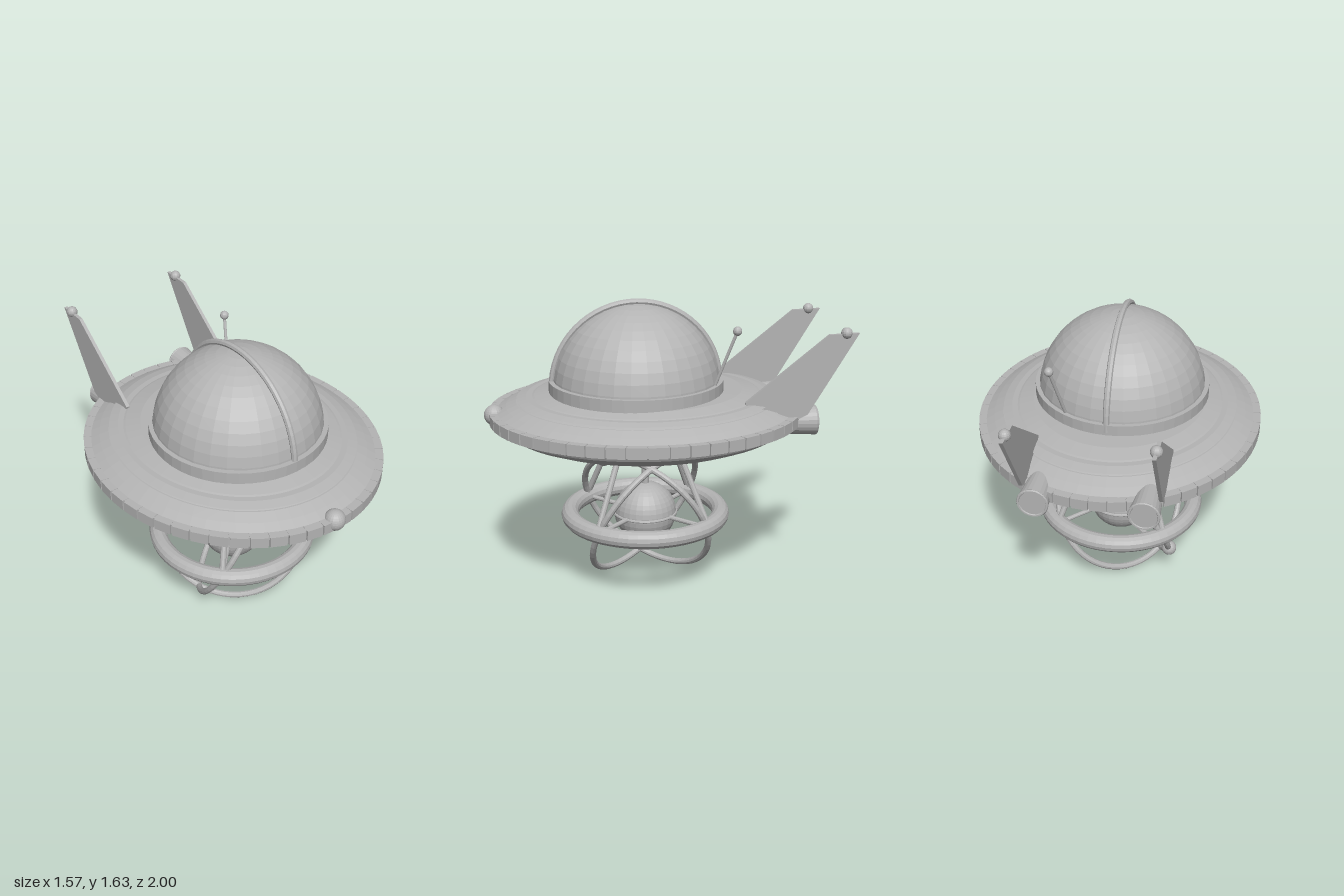
import * as THREE from 'three';

const metal = new THREE.MeshStandardMaterial({ color: 0xb4b4b4, flatShading: true });
metal.name = 'plain grey';

const V = (x, y, z) => new THREE.Vector3(x, y, z);

export function createModel() {
  const model = new THREE.Group();
  model.name = 'saucer';

  function add(name, geometry, x = 0, y = 0, z = 0, parent = model) {
    const mesh = new THREE.Mesh(geometry, metal);
    mesh.name = name;
    mesh.position.set(x, y, z);
    parent.add(mesh);
    return mesh;
  }
  const ball = (name, r, x, y, z, w = 16) => add(name, new THREE.SphereGeometry(r, w, w * 0.75), x, y, z);
  function rod(name, a, b, r) {
    const dir = b.clone().sub(a);
    const mesh = add(name, new THREE.CylinderGeometry(r, r, dir.length(), 10));
    mesh.position.copy(a).add(b).multiplyScalar(0.5);
    mesh.quaternion.setFromUnitVectors(V(0, 1, 0), dir.normalize());
    return mesh;
  }

  // Oval hull: everything inside this group is stretched along z
  const hull = new THREE.Group();
  hull.name = 'hull';
  hull.position.z = 0.095;
  hull.scale.z = 0.875 / 0.785;
  model.add(hull);

  const profile = [
    [0, 0.785], [0.12, 0.788], [0.25, 0.8], [0.38, 0.82], [0.5, 0.845], [0.6, 0.873], [0.68, 0.908],
    [0.73, 0.94], [0.745, 0.97], [0.745, 1.03], [0.7, 1.053], [0.64, 1.08], [0.56, 1.11], [0.48, 1.128], [0, 1.14],
  ].map(([x, y]) => new THREE.Vector2(x, y));
  add('saucerBody', new THREE.LatheGeometry(profile, 64), 0, 0, 0, hull);

  // Stepped deck rings
  add('outerDeckRing', new THREE.CylinderGeometry(0.65, 0.7, 0.022, 64), 0, 1.068, 0, hull);
  add('innerDeckRing', new THREE.CylinderGeometry(0.6, 0.648, 0.012, 64), 0, 1.1, 0, hull);

  // Segmented rim
  const rimSection = [[0.73, 0.972], [0.776, 0.972], [0.776, 1.028], [0.73, 1.028]].map(([x, y]) => new THREE.Vector2(x, y));
  add('rim', new THREE.LatheGeometry(rimSection, 96), 0, 0, 0, hull);
  const segments = 52;
  for (let i = 0; i < segments; i++) {
    const a = ((i + 0.5) / segments) * Math.PI * 2;
    const block = add('rimBlock', new THREE.BoxGeometry(0.086, 0.06, 0.05),
      Math.sin(a) * 0.76, 1, Math.cos(a) * 0.76, hull);
    block.rotation.y = a;
  }
  ball('noseLight', 0.057, 0, 1.01, 0.94, 20);

  // Dome with collar and centre rib
  add('domeCollar', new THREE.CylinderGeometry(0.486, 0.486, 0.075, 48), 0, 1.153, 0.152);
  add('dome', new THREE.SphereGeometry(0.465, 32, 12, 0, Math.PI * 2, 0, Math.PI / 2), 0, 1.14, 0.15);
  const rib = add('domeRib', new THREE.TorusGeometry(0.47, 0.018, 8, 32, Math.PI), 0, 1.145, 0.15);
  rib.rotation.y = Math.PI / 2;

  // Antenna
  rod('antennaRod', V(0.225, 1.13, -0.225), V(0.29, 1.495, -0.352), 0.009);
  ball('antennaTip', 0.025, 0.29, 1.495, -0.352, 12);

  // Tail fins with tip lights, and engine nozzles
  const finShape = new THREE.Shape([[0.385, 1.12], [0.41, 1.03], [0.64, 1.0], [0.73, 1.04], [1, 1.48], [0.835, 1.475]]
    .map(([z, y]) => new THREE.Vector2(z, y)));
  for (const side of [-1, 1]) {
    const fin = add('tailFin', new THREE.ExtrudeGeometry(finShape, { depth: 0.02, bevelEnabled: false }), side * 0.36 - 0.01);
    fin.rotation.y = Math.PI / 2;
    ball('finLight', 0.031, side * 0.36, 1.48, -0.93, 14);
    const nozzle = add('engineNozzle', new THREE.CylinderGeometry(0.065, 0.082, 0.24, 24), side * 0.285, 0.986, -0.675);
    nozzle.rotation.x = Math.PI / 2;
    const lip = add('nozzleLip', new THREE.TorusGeometry(0.076, 0.008, 6, 24), side * 0.285, 0.986, -0.793);
    lip.name = 'nozzleLip';
  }

  // Hanging core with its main ring
  const cz = 0.105, cy = 0.393;
  rod('corePost', V(0, 0.83, cz), V(0, 0.5, cz), 0.022);
  ball('core', 0.178, 0, cy, cz, 28);
  const band = add('coreBand', new THREE.TorusGeometry(0.177, 0.009, 8, 40), 0, cy, cz);
  const ring = add('mainRing', new THREE.TorusGeometry(0.433, 0.05, 14, 56), 0, cy, cz);
  band.rotation.x = ring.rotation.x = Math.PI / 2;

  // Diagonal struts and spokes
  for (const sx of [-1, 1]) for (const sz of [-1, 1]) {
    rod('strut', V(sx * 0.155, 0.83, cz + sz * 0.155), V(sx * 0.305, 0.41, cz + sz * 0.305), 0.017);
    rod('spoke', V(sx * 0.11, cy, cz + sz * 0.11), V(sx * 0.3, cy, cz + sz * 0.3), 0.013);
  }

  // Two tilted orbit rings, each carrying a small ball
  for (const s of [-1, 1]) {
    const orbit = add('orbitRing', new THREE.TorusGeometry(0.417, 0.018, 10, 56), 0, cy, cz);
    orbit.quaternion.setFromUnitVectors(V(0, 0, 1), V(0.635, -0.46, s * 0.62).normalize());
  }
  ball('upperOrbitBall', 0.042, 0.03, 0.735, 0.345);
  ball('lowerOrbitBall', 0.043, -0.325, 0.2, -0.075);

  return model;
}
